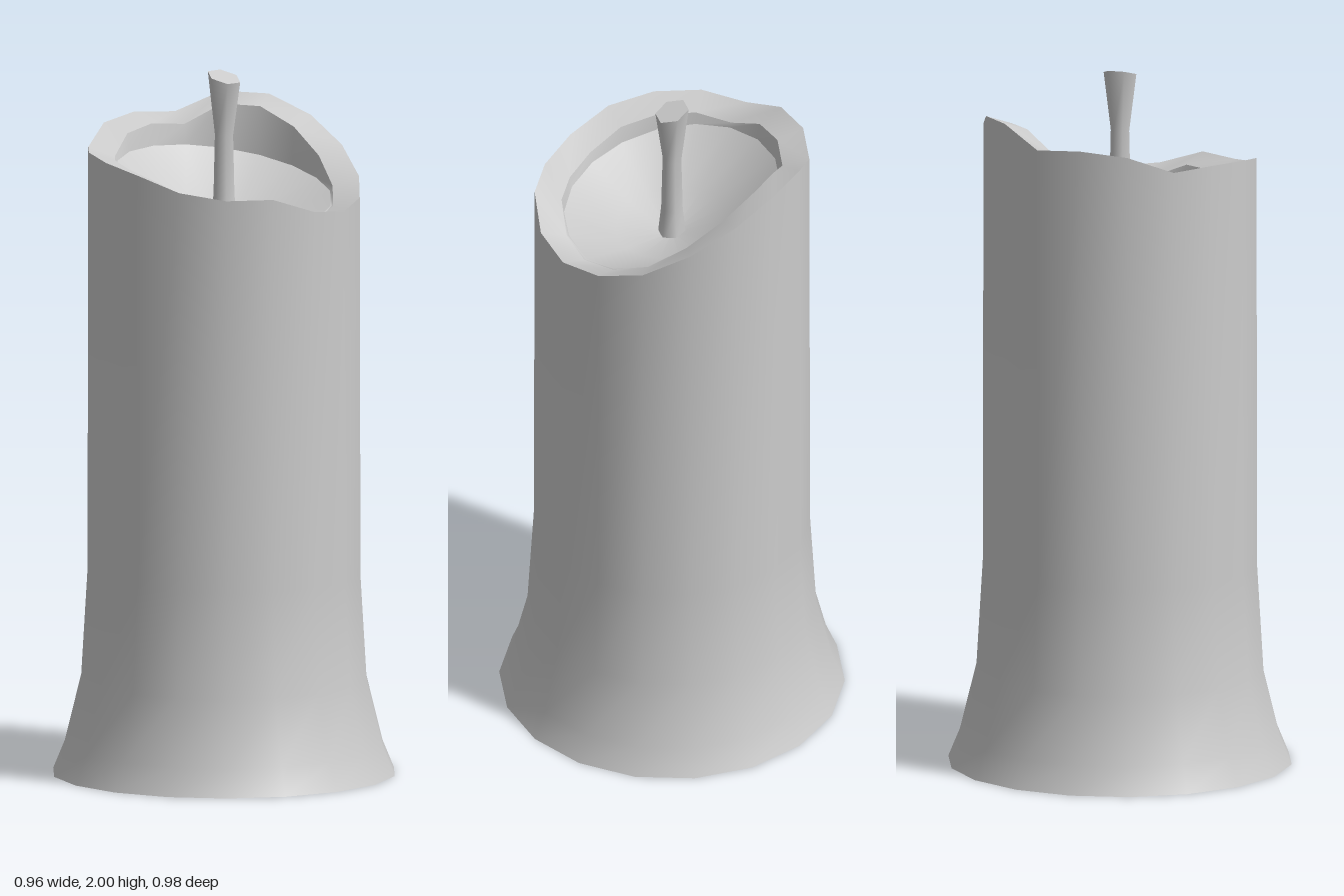
import * as THREE from 'three';

const SIDES = 18;
const TWIST = 0.024;

// Uneven height of the melted rim, clockwise from the back
const RIM = [1.84, 1.83, 1.885, 1.88, 1.83, 1.76, 1.69, 1.65, 1.63,
  1.645, 1.69, 1.69, 1.71, 1.75, 1.77, 1.78, 1.775, 1.825];

// Skin closed rings; each row is [radius, height], height may be a function of (i, x, z)
function loft(rows, sides, twist) {
  const pos = [], index = [];
  rows.forEach(([r, h], j) => {
    for (let i = 0; i < sides; i++) {
      const a = twist + (i / sides) * Math.PI * 2;
      const x = r * Math.sin(a), z = -r * Math.cos(a);
      pos.push(x, typeof h === 'function' ? h(i, x, z) : h, z);
      if (j === 0) continue;
      const n = (i + 1) % sides, lo = (j - 1) * sides, hi = j * sides;
      index.push(lo + i, hi + i, lo + n);
      if (r > 0) index.push(lo + n, hi + i, hi + n);
    }
  });
  const g = new THREE.BufferGeometry();
  g.setAttribute('position', new THREE.Float32BufferAttribute(pos, 3));
  g.setIndex(index);
  g.computeVertexNormals();
  return g;
}

export function createModel() {
  const group = new THREE.Group();
  group.name = 'candle';
  const material = new THREE.MeshStandardMaterial({ color: 0xcccccc, side: THREE.DoubleSide });
  const add = (name, rows, sides = SIDES, twist = TWIST) => {
    const mesh = new THREE.Mesh(loft(rows, sides, twist), material);
    mesh.name = name;
    group.add(mesh);
  };

  const rimOuter = (i) => RIM[i];
  const poolEdge = (i, x, z) => Math.min(1.685 - 0.22 * z, RIM[i] - 0.025);
  const rimInner = (i, x, z) => Math.max(RIM[i] - 0.025, poolEdge(i, x, z));

  // Flared outer wall, open underneath
  add('waxBody', [[0.488, 0], [0.455, 0.08], [0.408, 0.27], [0.39, 0.57], [0.388, rimOuter]]);
  // Melted lip, inner wall and wax pool
  add('rim', [[0.388, rimOuter], [0.312, rimInner]]);
  add('innerWall', [[0.312, rimInner], [0.305, poolEdge]]);
  add('waxPool', [[0.305, poolEdge], [0.16, (i, x, z) => 1.595 - 0.13 * z], [0, 1.56]]);

  // Six-sided wick, pinched in the middle with a slanted tip
  const tip = (i, x, z) => 1.985 - 0.33 * z;
  add('wick', [[0.042, 1.54], [0.031, 1.65], [0.027, 1.82], [0.048, tip]], 6, Math.PI / 6);
  add('wickTip', [[0.048, tip], [0, 1.985]], 6, Math.PI / 6);

  return group;
}
